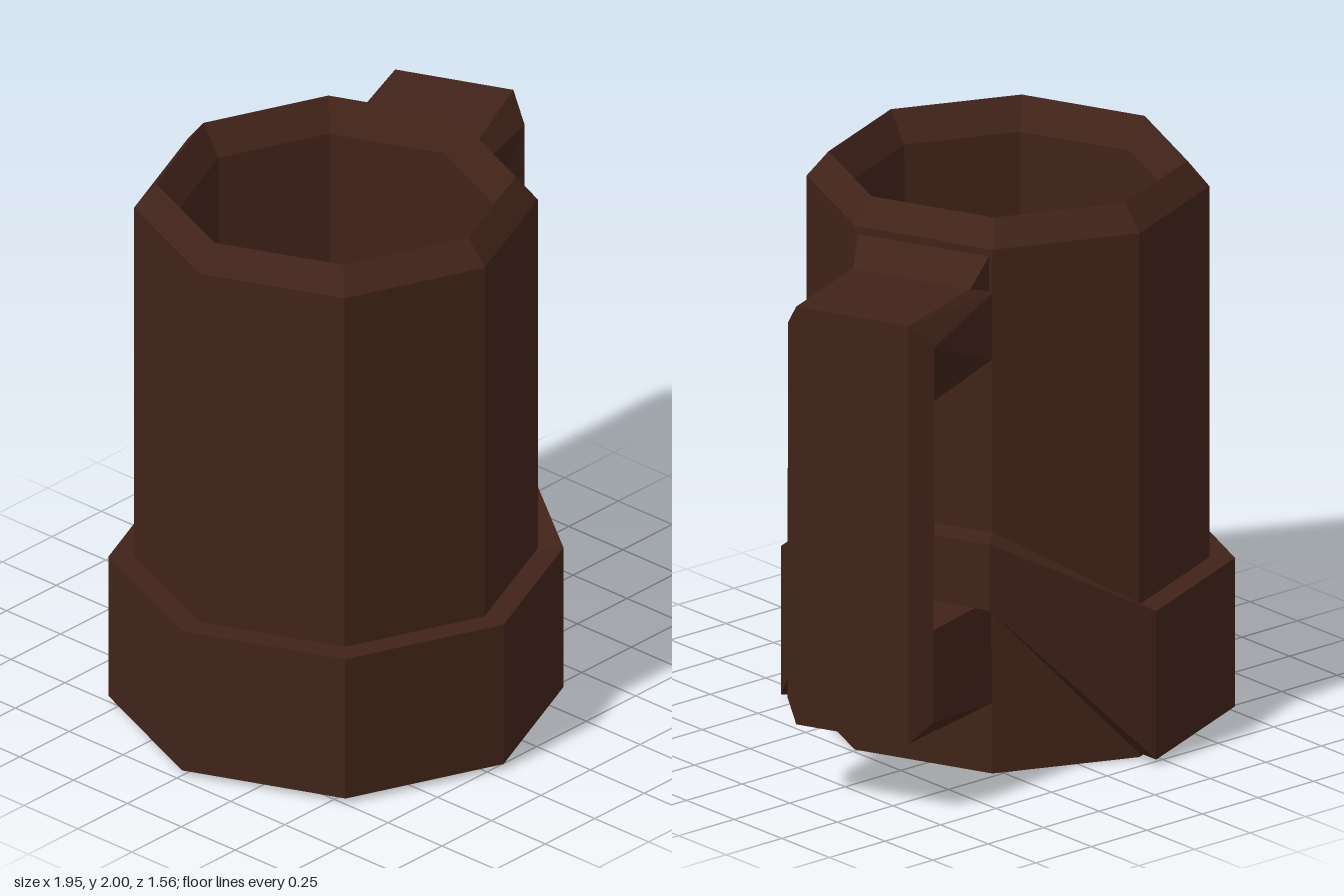
import * as THREE from 'three';

const material = new THREE.MeshStandardMaterial({ color: 0x412319, flatShading: true });

// Skins a series of closed cross-sections; optionally joins the last to the first
function loft(rings, closed) {
  const pos = [], n = rings[0].length, count = closed ? rings.length : rings.length - 1;
  for (let i = 0; i < count; i++) {
    const p = rings[i], q = rings[(i + 1) % rings.length];
    for (let j = 0; j < n; j++) {
      const k = (j + 1) % n;
      pos.push(...p[j], ...p[k], ...q[k], ...p[j], ...q[k], ...q[j]);
    }
  }
  const g = new THREE.BufferGeometry();
  g.setAttribute('position', new THREE.Float32BufferAttribute(pos, 3));
  g.computeVertexNormals();
  return g;
}

export function createModel() {
  const group = new THREE.Group();
  group.name = 'mug';
  const add = (name, geometry) => {
    const mesh = new THREE.Mesh(geometry, material);
    mesh.name = name;
    mesh.position.x = -0.197;
    group.add(mesh);
    return mesh;
  };

  // Octagonal cup: outside wall, bevelled rim, inside wall and floor
  const profile = [[0, 0], [0.69, 0.005], [0.69, 1.91], [0.615, 2], [0.545, 1.89], [0.53, 0.2], [0, 0.2]];
  add('cup', new THREE.LatheGeometry(profile.map(([r, y]) => new THREE.Vector2(r, y)), 8));

  // Base band, which climbs at the two corners beside the handle
  const bandRings = [];
  for (let i = 0; i < 8; i++) {
    const a = i * Math.PI / 4, raised = i < 2;
    const r = raised ? 0.808 : 0.778, top = raised ? 0.88 : 0.56, bottom = raised ? 0.64 : 0.02;
    const at = (radius, y) => [radius * Math.cos(a), y, -radius * Math.sin(a)];
    bandRings.push([at(0.68, top), at(r, top), at(r, bottom), at(0.68, bottom)]);
  }
  add('baseBand', loft(bandRings, true));

  // Handle: six-sided sections, each as outer, middle and inner [reach, height, half width]
  const sections = [
    [[0.62, 1.9, 0.255], [0.62, 1.75, 0.255], [0.62, 1.51, 0.255]],
    [[0.73, 1.79, 0.225], [0.64, 1.75, 0.262], [0.64, 1.51, 0.262]],
    [[1.176, 1.8, 0.215], [1.11, 1.71, 0.28], [0.99, 1.46, 0.21]],
    [[1.176, 0.28, 0.215], [1.115, 0.35, 0.28], [1.025, 0.64, 0.225]],
    [[0.62, 0.26, 0.262], [0.62, 0.45, 0.262], [0.62, 0.64, 0.262]],
  ];
  const handleRings = sections.map(([o, m, i]) => [
    [o[0], o[1], -o[2]], [o[0], o[1], o[2]], [m[0], m[1], m[2]],
    [i[0], i[1], i[2]], [i[0], i[1], -i[2]], [m[0], m[1], -m[2]],
  ]);
  add('handle', loft(handleRings, false)).rotation.y = Math.PI / 8;

  return group;
}
